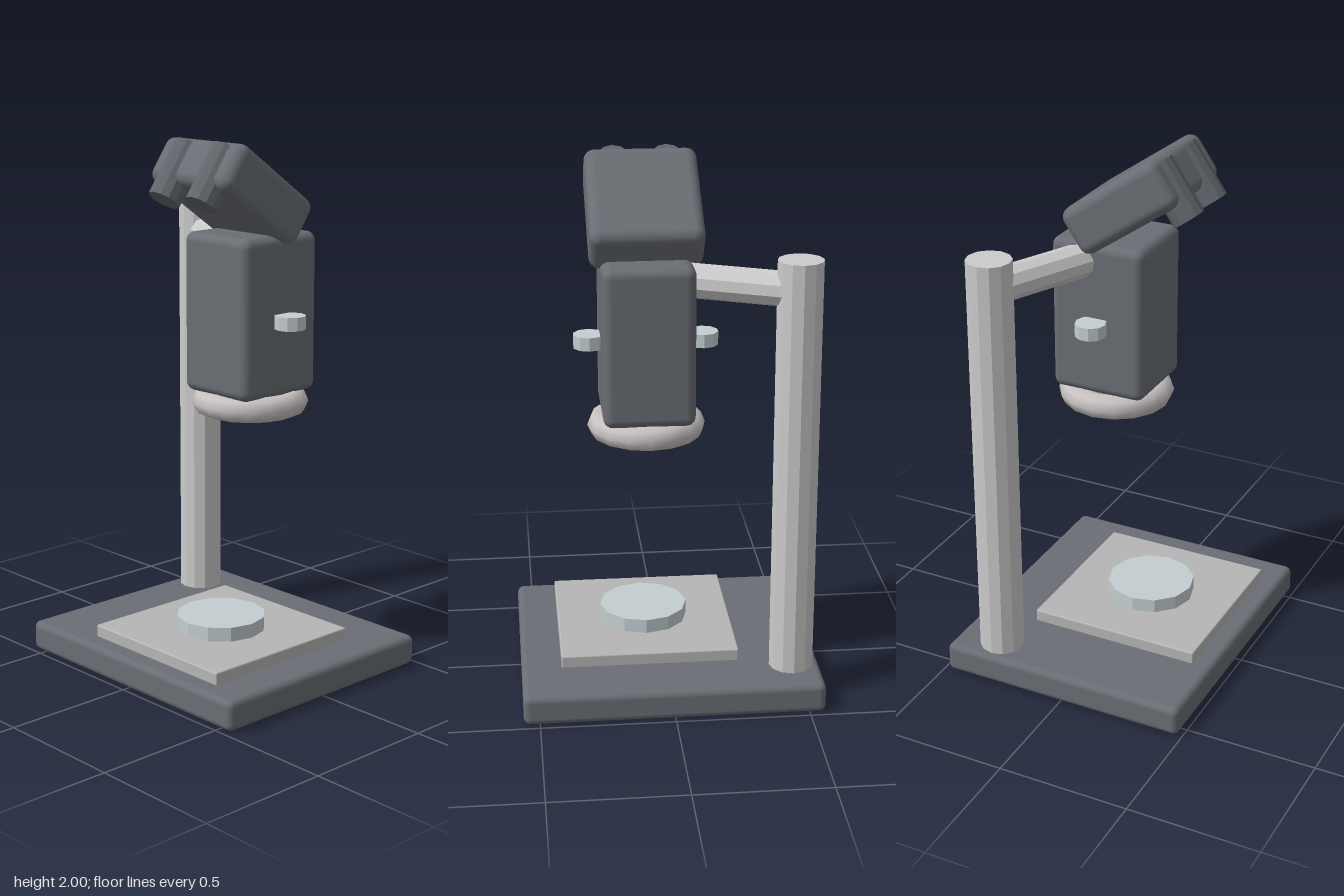
import * as THREE from 'three';
import { RoundedBoxGeometry } from 'three/addons/geometries/RoundedBoxGeometry.js';

const CX = 0.073; // optical axis, x
const CZ = -0.075; // optical axis, z

export function createModel() {
  const model = new THREE.Group();
  model.name = 'microscope';

  const mat = (color, flatShading = false) => new THREE.MeshStandardMaterial({ color, flatShading });
  const dark = mat(0x6a6e74);
  const darkFlat = mat(0x62666c, true);
  const metal = mat(0xcccccc, true);
  const plate = mat(0xb6b6b6);
  const glass = mat(0xc4ced2, true);
  const ringMat = mat(0xc8c2c2);
  const lensMat = mat(0x8a8c90);

  const add = (name, geometry, material, x, y, z, parent = model) => {
    const mesh = new THREE.Mesh(geometry, material);
    mesh.name = name;
    mesh.position.set(x, y, z);
    parent.add(mesh);
    return mesh;
  };
  const box = (w, h, d, r) => new RoundedBoxGeometry(w, h, d, 3, r);
  const cyl = (r, h, sides) => new THREE.CylinderGeometry(r, r, h, sides);

  // Base, stage and specimen dish
  add('base', box(1.12, 0.115, 0.97, 0.025), dark, 0, 0.0575, 0);
  add('stage', box(0.67, 0.05, 0.67, 0.006), plate, 0.075, 0.136, 0.075);
  add('specimenDish', cyl(0.168, 0.06, 12), glass, 0.075, 0.185, 0.075);

  // Upright post
  add('post', cyl(0.083, 1.6, 12), metal, -0.452, 0.89, -0.302);

  // Horizontal arm from the post into the body
  const from = new THREE.Vector3(-0.405, 1.58, -0.285);
  const to = new THREE.Vector3(CX, 1.58, CZ);
  const mid = from.clone().lerp(to, 0.5);
  const arm = add('arm', cyl(0.064, from.distanceTo(to), 10), metal, mid.x, mid.y, mid.z);
  arm.quaternion.setFromUnitVectors(new THREE.Vector3(0, 1, 0), to.clone().sub(from).normalize());

  // Body with a ring light and lens underneath
  add('body', box(0.335, 0.595, 0.37, 0.035), dark, CX, 1.3575, CZ);
  const ring = add('lensRing', new THREE.TorusGeometry(0.17, 0.048, 8, 16), ringMat, CX, 1.02, CZ);
  ring.rotation.x = Math.PI / 2;
  add('lens', cyl(0.14, 0.07, 16), lensMat, CX, 1.04, CZ);

  // Focus knobs on both sides
  for (const side of [-1, 1]) {
    add(side < 0 ? 'rightKnob' : 'leftKnob', cyl(0.058, 0.05, 10), glass, CX + side * 0.208, 1.345, CZ);
  }

  // Tilted head carrying two eyepieces
  const head = new THREE.Group();
  head.name = 'head';
  head.position.set(CX, 1.809, 0.021);
  head.rotation.x = THREE.MathUtils.degToRad(-35);
  model.add(head);
  add('headHousing', box(0.412, 0.187, 0.444, 0.04), dark, 0, 0, 0, head);
  for (const side of [-1, 1]) {
    add(side < 0 ? 'rightEyepiece' : 'leftEyepiece', cyl(0.061, 0.224, 12), darkFlat, side * 0.098, -0.043, 0.182, head);
  }

  return model;
}
